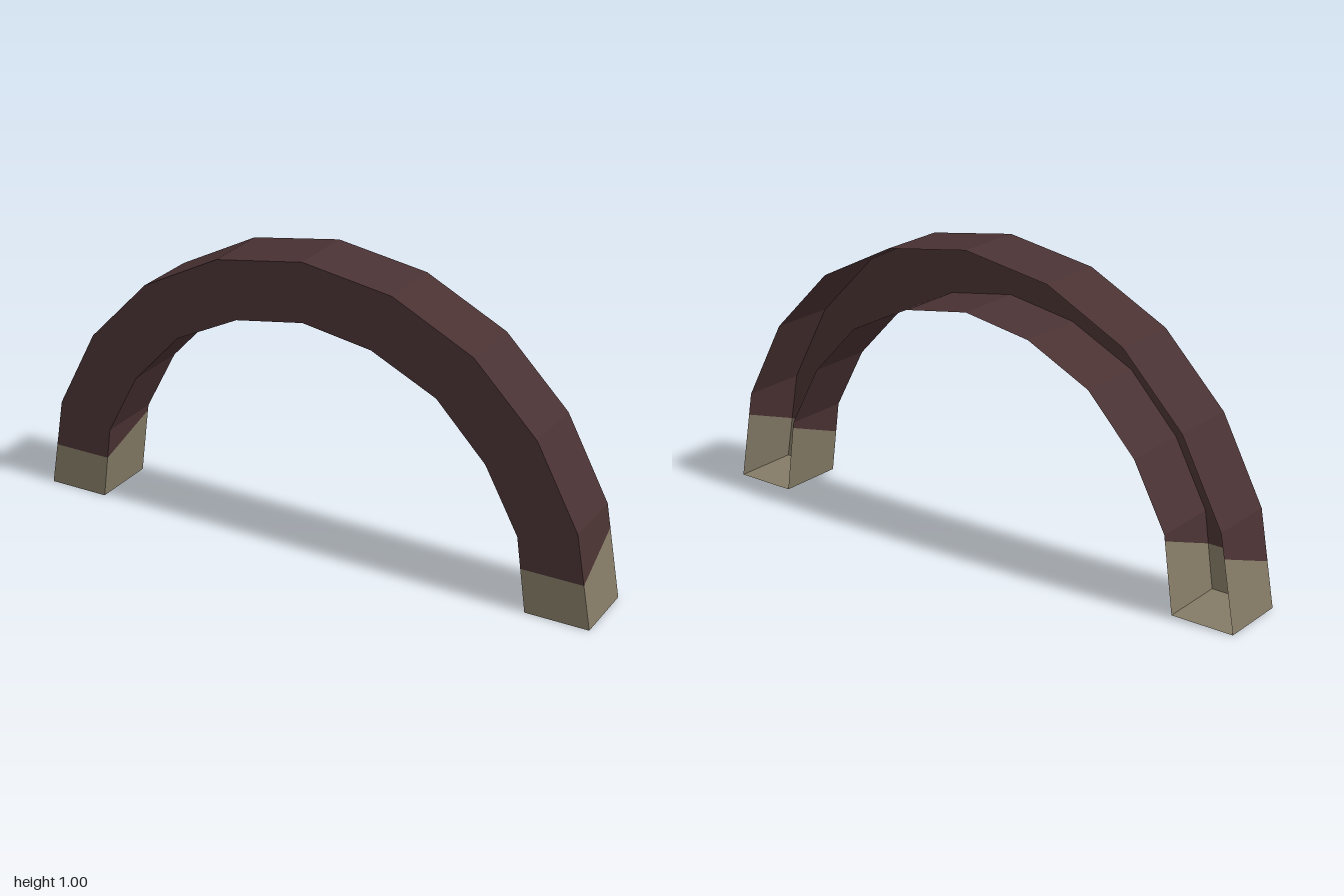
import * as THREE from 'three';

const DEPTH = 0.115; // half depth, front plate at +z, open at the back

// Half profile of the arch, from foot to crown: [outer x, outer y, inner x, inner y]
const HALF = [
  [1, 0, 0.785, 0],
  [0.945, 0.315, 0.75, 0.255],
  [0.8, 0.59, 0.635, 0.47],
  [0.585, 0.81, 0.465, 0.65],
  [0.31, 0.95, 0.24, 0.76],
  [0, 1, 0, 0.8],
];

// Cross-section corners: outer back, outer front, inner front, inner back
function station([ox, oy, ix, iy]) {
  return [[ox, oy, -DEPTH], [ox, oy, DEPTH], [ix, iy, DEPTH], [ix, iy, -DEPTH]];
}

// Section between foot and first joint, cut lower at the front than at the back
function cutStation(foot, joint) {
  return foot.map((p, k) => {
    const y = k === 1 || k === 2 ? 0.148 : 0.235;
    const t = (y - p[1]) / (joint[k][1] - p[1]);
    return [p[0] + (joint[k][0] - p[0]) * t, y, p[2]];
  });
}

const mirror = (s) => s.map(([x, y, z]) => [-x, y, z]);

function quadMesh(name, quads, material) {
  const positions = quads.flatMap(([a, b, c, d]) => [a, b, c, a, c, d].flat());
  const geometry = new THREE.BufferGeometry();
  geometry.setAttribute('position', new THREE.Float32BufferAttribute(positions, 3));
  geometry.computeVertexNormals();
  const mesh = new THREE.Mesh(geometry, material);
  mesh.name = name;
  return mesh;
}

// Outer wall, front plate and inner wall between consecutive stations
function channel(stations) {
  const quads = [];
  for (let i = 0; i + 1 < stations.length; i++) {
    const a = stations[i], b = stations[i + 1];
    for (let k = 0; k < 3; k++) quads.push([a[k], b[k], b[k + 1], a[k + 1]]);
  }
  return quads;
}

export function createModel() {
  const brown = new THREE.MeshStandardMaterial({ color: 0x4a3233, flatShading: true, side: THREE.DoubleSide });
  brown.name = 'dark brown';
  const tan = new THREE.MeshStandardMaterial({ color: 0x847a66, flatShading: true, side: THREE.DoubleSide });
  tan.name = 'dull tan';

  const half = HALF.map(station);
  const foot = half[0];
  const cut = cutStation(foot, half[1]);
  const rise = [cut, ...half.slice(1)];
  const fall = rise.slice(0, -1).reverse().map(mirror);

  const group = new THREE.Group();
  group.name = 'arch';
  group.add(quadMesh('archBand', channel([...rise, ...fall]), brown));

  // Tips with closed soles
  group.add(quadMesh('leftTip', [...channel([foot, cut]), foot], tan));
  group.add(quadMesh('rightTip', [...channel([mirror(cut), mirror(foot)]), mirror(foot).reverse()], tan));
  return group;
}
